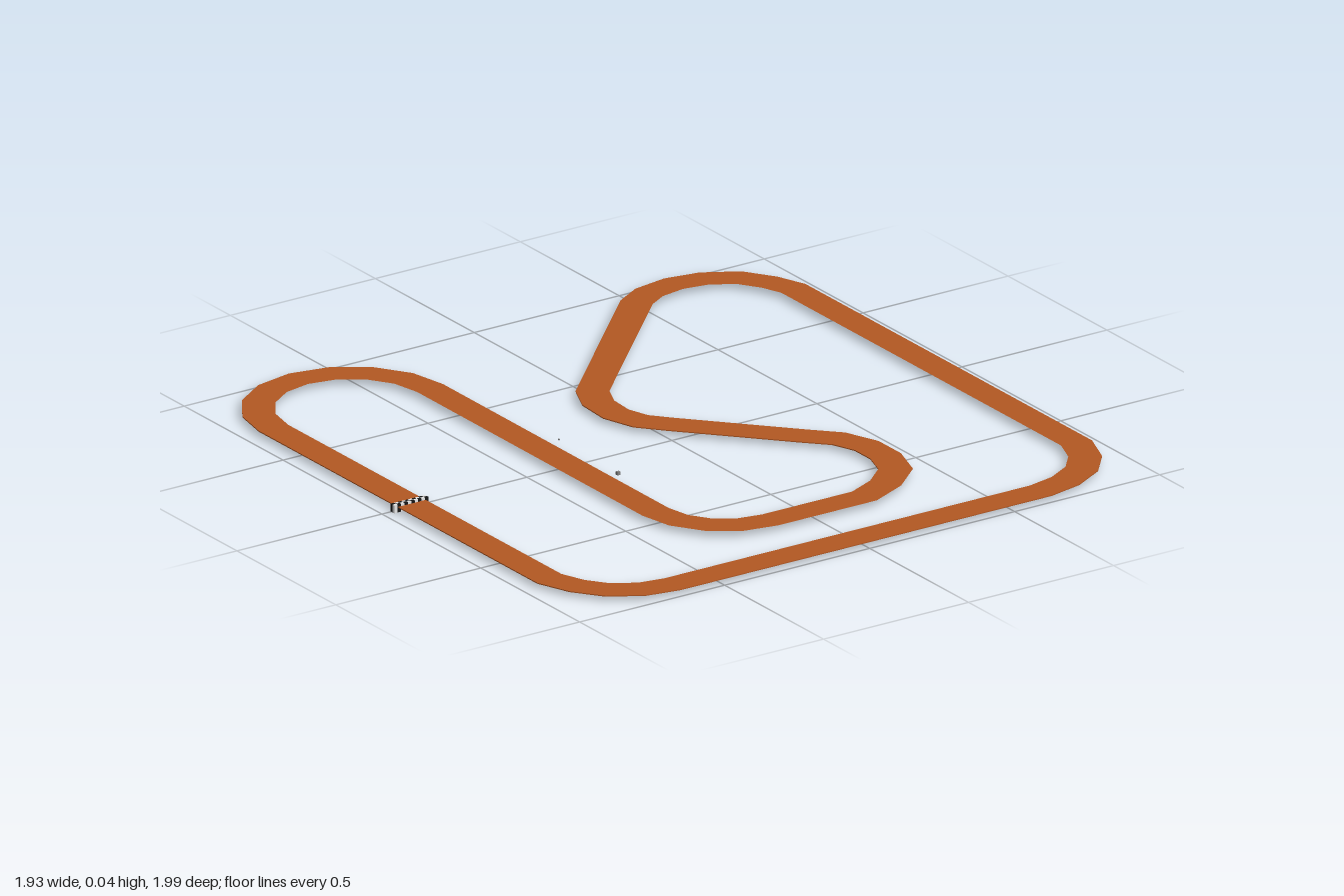
import * as THREE from 'three';

// Points of an arc in the ground plane, as [x, z]
function arc(cx, cz, r, from, to, steps) {
  return Array.from({ length: steps + 1 }, (_, i) => {
    const a = THREE.MathUtils.degToRad(from + ((to - from) * i) / steps);
    return [cx + r * Math.cos(a), cz + r * Math.sin(a)];
  });
}

// Shift a closed loop sideways with mitred corners
function offsetLoop(points, d) {
  const n = points.length;
  const normal = (a, b) => new THREE.Vector2(b[1] - a[1], a[0] - b[0]).normalize();
  return points.map((p, i) => {
    const n1 = normal(points[(i + n - 1) % n], p);
    const n2 = normal(p, points[(i + 1) % n]);
    const m = n1.clone().add(n2).multiplyScalar(d / (1 + n1.dot(n2)));
    return new THREE.Vector2(p[0] + m.x, -(p[1] + m.y));
  });
}

export function createModel() {
  const model = new THREE.Group();
  const material = (name, color) => new THREE.MeshStandardMaterial({ name, color });
  const clay = material('clay', 0xb35822);
  const white = material('white', 0xe6e6e6);
  const black = material('black', 0x151515);
  const grey = material('grey', 0x808080);

  // Centre line of the circuit, corner by corner
  const line = [
    ...arc(-0.637, -0.685, 0.27, 180, 360, 8),
    ...arc(-0.135, 0.46, 0.235, 180, 90, 4),
    [0.19, 0.695], [0.296, 0.647], [0.381, 0.573], [0.413, 0.475],
    [0.413, 0.379], [0.378, 0.289], [0.307, 0.215],
    [0.045, -0.072], [-0.013, -0.14], [-0.04, -0.225], [-0.034, -0.323], [0.003, -0.406],
    [0.489, -0.896], [0.561, -0.938], [0.656, -0.954], [0.749, -0.938],
    [0.836, -0.888], [0.889, -0.809], [0.918, -0.732],
    [0.918, 0.7], [0.881, 0.798], [0.82, 0.87], [0.73, 0.92], [0.63, 0.942],
    [-0.64, 0.942], [-0.733, 0.925], [-0.817, 0.875], [-0.873, 0.8], [-0.907, 0.71],
  ];

  // Thin track slab between the two offset edges
  const shape = new THREE.Shape(offsetLoop(line, 0.0475));
  shape.holes.push(new THREE.Path(offsetLoop(line, -0.0475)));
  const slab = new THREE.ExtrudeGeometry(shape, { depth: 0.003, bevelEnabled: false });
  slab.rotateX(-Math.PI / 2);
  const track = new THREE.Mesh(slab, clay);
  track.name = 'track';
  track.position.y = 0.014;
  model.add(track);

  // Chequered finish bar across the left straight
  const finish = new THREE.Group();
  finish.name = 'finishLine';
  const cells = 10, cell = 0.118 / cells;
  const cellBox = new THREE.BoxGeometry(cell, 0.024, 0.009);
  for (let row = 0; row < 2; row++) {
    for (let i = 0; i < cells; i++) {
      const square = new THREE.Mesh(cellBox, (i + row) % 2 ? white : black);
      square.name = 'finishSquare';
      square.position.set(-0.968 + (i + 0.5) * cell, 0.012, 0.002 + row * 0.009);
      finish.add(square);
    }
  }
  model.add(finish);

  // Small markers floating beside the inner straight
  for (const [z, y, size] of [[0.19, 0.034, 0.01], [-0.11, 0.038, 0.004]]) {
    const marker = new THREE.Mesh(new THREE.BoxGeometry(size, size, size), grey);
    marker.name = 'marker';
    marker.position.set(-0.315, y, z);
    model.add(marker);
  }
  return model;
}
